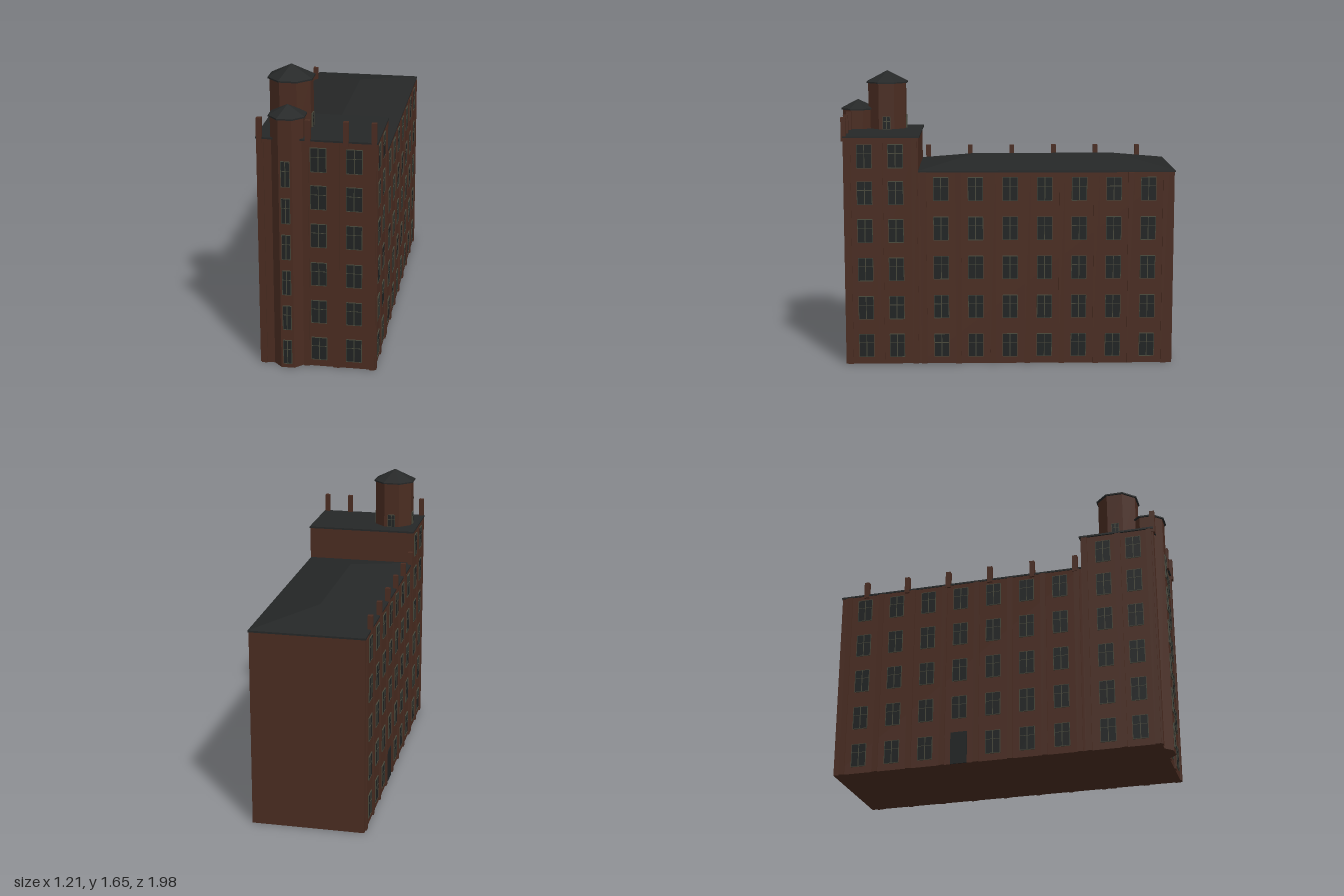
import * as THREE from 'three';
import { mergeGeometries } from 'three/addons/utils/BufferGeometryUtils.js';

const brick = new THREE.MeshStandardMaterial({ color: 0x4a2c21 });
const roofing = new THREE.MeshStandardMaterial({ color: 0x252727 });
const glass = new THREE.MeshStandardMaterial({ color: 0x202323 });
const frame = new THREE.MeshStandardMaterial({ color: 0x47473a });
[['brick', brick], ['roofing', roofing], ['glass', glass], ['window frame', frame]]
  .forEach(([name, m]) => { m.name = name; });

// Building plan: half width, back, step between the two blocks, front
const W = 0.312, BACK = -0.94, STEP = 0.505, FRONT = 0.918;
const LOW = 1.11, HIGH = 1.3;

function add(parent, name, geo, mat, x = 0, y = 0, z = 0) {
  const m = new THREE.Mesh(geo, mat);
  m.name = name;
  m.position.set(x, y, z);
  parent.add(m);
  return m;
}

function block(parent, name, mat, x0, x1, y0, y1, z0, z1) {
  return add(parent, name, new THREE.BoxGeometry(x1 - x0, y1 - y0, z1 - z0), mat,
    (x0 + x1) / 2, (y0 + y1) / 2, (z0 + z1) / 2);
}

// Window: thin pane with border, mullion and transom, facing local +z
function windowMaker(w, h) {
  const t = 0.003;
  const pane = new THREE.BoxGeometry(w, h, 0.004);
  const bar = (bw, bh, x, y) => new THREE.BoxGeometry(bw, bh, 0.007).translate(x, y, 0);
  const bars = mergeGeometries([
    bar(t, h, -w / 2, 0), bar(t, h, w / 2, 0), bar(w, t, 0, -h / 2), bar(w, t, 0, h / 2),
    bar(t * 1.6, h, 0, 0), bar(w, t, 0, h * 0.12),
  ]);
  return (parent, x, y, z, angle) => {
    const g = new THREE.Group();
    g.name = 'window';
    add(g, 'pane', pane, glass);
    add(g, 'windowBars', bars, frame);
    g.position.set(x, y, z);
    g.rotation.y = angle;
    parent.add(g);
  };
}

// Hipped roof over the long block
function hipRoof() {
  const w = 0.316, e = LOW + 0.004, r = 1.177;
  const A = [-w, e, -0.945], B = [w, e, -0.945], C = [w, e, STEP], D = [-w, e, STEP];
  const P = [0, r, -0.614], Q = [0, r, 0.184];
  const g = new THREE.BufferGeometry();
  g.setAttribute('position', new THREE.Float32BufferAttribute(
    [A, D, Q, A, Q, P, C, B, P, C, P, Q, D, C, Q, B, A, P].flat(), 3));
  g.computeVertexNormals();
  return g;
}

// Eight-sided tower with a conical roof
function tower(parent, name, x, z, r, y0, y1, roofR, top) {
  const flat = (geo) => {
    const g = geo.rotateY(Math.PI / 8).toNonIndexed();
    g.computeVertexNormals();
    return g;
  };
  const g = new THREE.Group();
  g.name = name;
  add(g, name + 'Wall', flat(new THREE.CylinderGeometry(r, r, y1 - y0, 8)), brick, x, (y0 + y1) / 2, z);
  add(g, name + 'Eave', flat(new THREE.CylinderGeometry(roofR, roofR, 0.008, 8)), roofing, x, y1, z);
  add(g, name + 'Roof', flat(new THREE.ConeGeometry(roofR, top - y1 - 0.004, 8)), roofing,
    x, (y1 + top) / 2 + 0.002, z);
  parent.add(g);
}

export function createModel() {
  const model = new THREE.Group();
  model.name = 'brickMill';
  const b = new THREE.Group();
  b.name = 'building';
  b.rotation.y = 0.332;
  model.add(b);

  // Main masses and roofs
  block(b, 'longBlock', brick, -W, W, 0, LOW, BACK, STEP);
  block(b, 'tallBlock', brick, -W, W, 0, HIGH, STEP, FRONT);
  block(b, 'longEave', roofing, -0.316, 0.316, LOW - 0.006, LOW + 0.004, -0.945, STEP);
  add(b, 'hipRoof', hipRoof(), roofing);
  block(b, 'tallRoof', roofing, -0.322, 0.322, HIGH, HIGH + 0.01, STEP - 0.008, FRONT + 0.01);

  const wide = windowMaker(0.084, 0.132);
  const narrow = windowMaker(0.046, 0.14);
  const attic = windowMaker(0.042, 0.075);
  const lowRows = [0.107, 0.333, 0.56, 0.785, 1.01];
  const tallRows = [0.107, 0.328, 0.55, 0.772, 0.988, 1.197];
  const D = 0.008; // pilaster depth

  // Long walls: pilasters and windows on both sides
  for (const s of [-1, 1]) {
    const pilaster = (z, h) => block(b, 'pilaster', brick,
      s * W - D, s * W + D, 0, h, z - 0.016, z + 0.016);
    const face = s * (W + 0.002), turn = s * Math.PI / 2;
    for (let i = 0; i < 8; i++) pilaster(0.477 - 0.1955 * i, LOW - 0.006);
    for (const z of [0.527, 0.72, 0.9]) pilaster(z, HIGH);
    for (let i = 0; i < 7; i++) {
      const isDoor = s < 0 && i === 3;
      lowRows.forEach((y, row) => {
        if (!(isDoor && row === 0)) wide(b, face, y, 0.379 - 0.1955 * i, turn);
      });
    }
    for (const z of [0.633, 0.808]) for (const y of tallRows) wide(b, face, y, z, turn);
  }
  // Side door
  block(b, 'door', glass, -W - 0.005, -W + 0.002, 0, 0.185, -0.255, -0.16);

  // Front wall
  for (const x of [-0.297, -0.06, 0.103, 0.297]) {
    block(b, 'frontPilaster', brick, x - 0.016, x + 0.016, 0, HIGH, FRONT - D, FRONT + D);
  }
  for (const x of [0.008, 0.198]) for (const y of tallRows) wide(b, x, y, FRONT + 0.002, 0);

  // Round-plan stair tower on the front, and the larger tower on the roof
  tower(b, 'stairTower', -0.159, 0.876, 0.094, 0, 1.425, 0.104, 1.48);
  for (let i = 0; i < 6; i++) narrow(b, -0.159, 0.095 + 0.206 * i, 0.876 + 0.089, 0);
  tower(b, 'roofTower', -0.169, 0.704, 0.118, HIGH, 1.58, 0.128, 1.648);
  for (const a of [-Math.PI / 2, Math.PI / 2, Math.PI]) {
    attic(b, -0.169 + Math.sin(a) * 0.112, 1.347, 0.704 + Math.cos(a) * 0.112, a);
  }

  // Chimney posts along the left eave and the front parapet
  const post = (x, z, y0, y1) => block(b, 'chimneyPost', brick,
    x - 0.014, x + 0.014, y0, y1, z - 0.014, z + 0.014);
  for (let i = 0; i < 6; i++) post(-0.31, -0.788 + 0.2515 * i, LOW - 0.02, 1.19);
  for (const x of [-0.302, -0.045, 0.155, 0.302]) post(x, 0.922, HIGH - 0.02, 1.415);

  return model;
}
